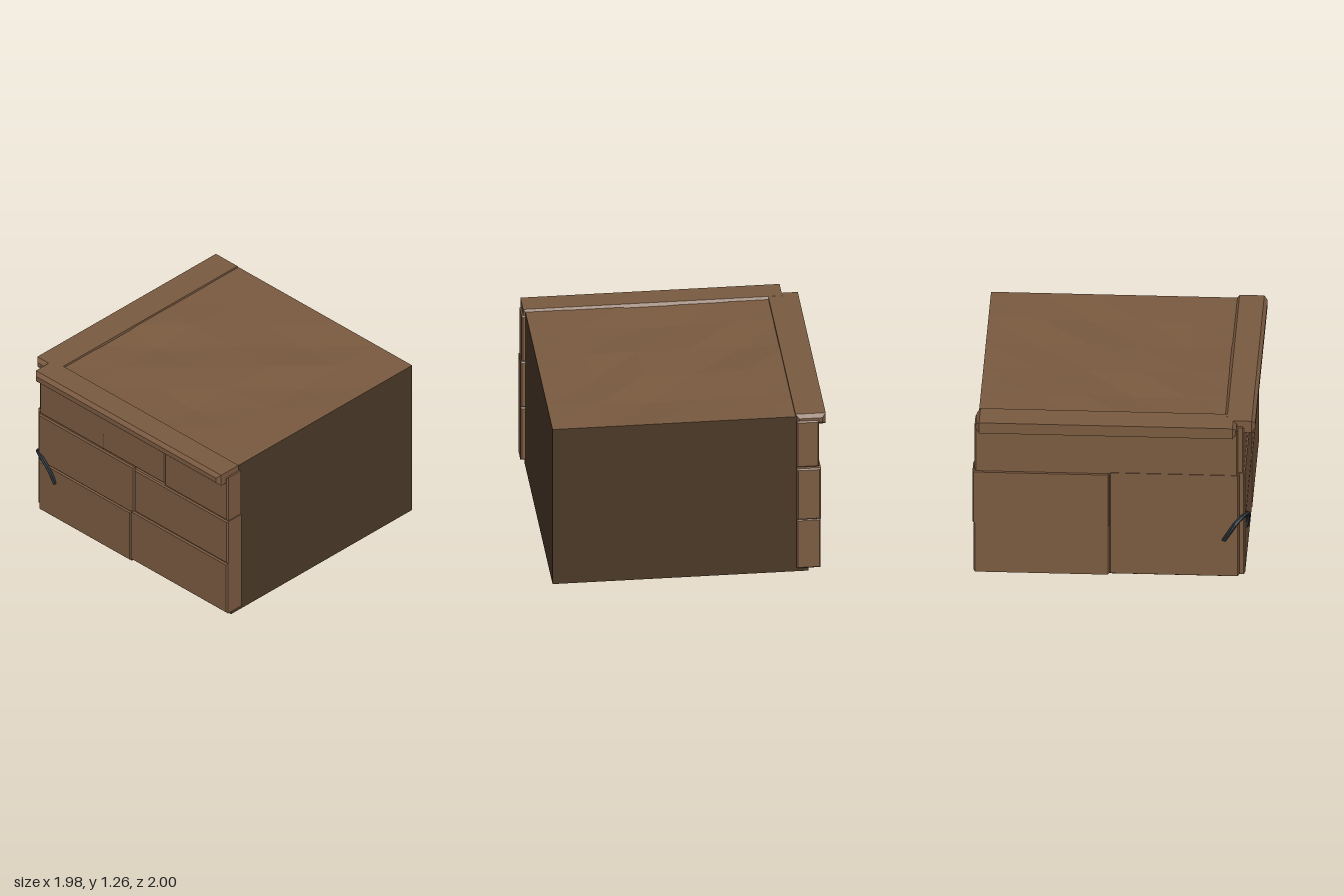
import * as THREE from 'three';

const wood = new THREE.MeshStandardMaterial({ color: 0x7a5a40, flatShading: true });
const soil = new THREE.MeshStandardMaterial({ color: 0x7a5a40, flatShading: true, side: THREE.DoubleSide });
const dark = new THREE.MeshStandardMaterial({ color: 0x4a3828, flatShading: true, side: THREE.DoubleSide });
const iron = new THREE.MeshStandardMaterial({ color: 0x2c343a, flatShading: true });

// Chamfered block between two corners
function block(name, [x0, x1], [y0, y1], [z0, z1], b = 0.015) {
  const s = new THREE.Shape();
  s.moveTo(x0 + b, y0 + b);
  s.lineTo(x1 - b, y0 + b);
  s.lineTo(x1 - b, y1 - b);
  s.lineTo(x0 + b, y1 - b);
  s.closePath();
  const geo = new THREE.ExtrudeGeometry(s, {
    depth: z1 - z0 - 2 * b, bevelEnabled: true, bevelSegments: 1, bevelSize: b, bevelThickness: b,
  });
  geo.translate(0, 0, z0 + b);
  const mesh = new THREE.Mesh(geo, wood);
  mesh.name = name;
  return mesh;
}

export function createModel() {
  const model = new THREE.Group();
  const X0 = -0.87, X1 = 0.95, Z0 = -0.96, Z1 = 0.86, TOP = 1.245;

  // Thin walls, open underneath; the two panelled sides stop below the rails
  const wall = (name, w, h, x, z, turn) => {
    const m = new THREE.Mesh(new THREE.PlaneGeometry(w, h), dark);
    m.position.set(x, h / 2, z);
    m.rotation.y = turn;
    m.name = name;
    model.add(m);
  };
  const midX = (X0 + X1) / 2, midZ = (Z0 + Z1) / 2;
  wall('backWall', X1 - X0, TOP, midX, Z0, Math.PI);
  wall('leftWall', Z1 - Z0, TOP, X1, midZ, Math.PI / 2);
  wall('frontInnerWall', X1 - X0, 1.2, midX, Z1, 0);
  wall('rightInnerWall', Z1 - Z0, 1.2, X0, midZ, -Math.PI / 2);

  // Gently uneven top, level along its border
  const ground = new THREE.PlaneGeometry(X1 - X0, Z1 - Z0, 5, 5);
  ground.rotateX(-Math.PI / 2);
  ground.translate(midX, TOP, midZ);
  const p = ground.attributes.position;
  for (let i = 0; i < p.count; i++) {
    const x = p.getX(i), z = p.getZ(i);
    const edge = x < X0 + 0.01 || x > X1 - 0.01 || z < Z0 + 0.01 || z > Z1 - 0.01;
    if (!edge) p.setY(i, TOP - 0.012 + 0.016 * Math.sin(x * 5 + 1) * Math.cos(z * 6 + x * 2));
  }
  const top = new THREE.Mesh(ground, soil);
  top.name = 'unevenTop';
  model.add(top);

  // Front planks: x range, y range, z range
  const front = [
    [[-0.9, 0.02], [0.035, 0.455], [0.785, 0.93]],
    [[0.02, 0.985], [0.055, 0.48], [0.78, 0.935]],
    [[-0.905, 0.052], [0.455, 0.855], [0.785, 0.93]],
    [[0.052, 0.985], [0.48, 0.845], [0.78, 0.93]],
    [[-0.9, 0.352], [0.855, 1.215], [0.785, 0.92]],
    [[0.352, 0.978], [0.845, 1.215], [0.78, 0.925]],
  ];
  front.forEach((f) => model.add(block('frontPlank', ...f, 0.01)));

  // Side planks
  const side = [
    [[-0.955, -0.785], [0.035, 0.43], [-0.99, -0.03]],
    [[-0.95, -0.785], [0.045, 0.455], [-0.03, 0.89]],
    [[-0.957, -0.785], [0.43, 0.84], [-1, -0.03]],
    [[-0.95, -0.785], [0.455, 0.855], [-0.03, 0.89]],
    [[-0.945, -0.785], [0.845, 1.215], [-0.985, 0.88]],
  ];
  side.forEach((s) => model.add(block('sidePlank', ...s, 0.01)));

  // Crack in the upper front plank
  const crack = new THREE.Mesh(new THREE.BoxGeometry(0.005, 0.125, 0.004), dark);
  crack.position.set(-0.264, 0.92, 0.92);
  crack.name = 'crack';
  model.add(crack);

  // Cap rails
  model.add(block('frontRail', [-0.88, 0.965], [1.17, 1.26], [0.775, 1], 0.025));
  model.add(block('sideRail', [-0.995, -0.78], [1.175, 1.259], [-0.975, 0.87], 0.025));

  // Bent iron strap wrapping the corner
  const path = new THREE.CatmullRomCurve3([
    [-0.735, 0.335, 0.93], [-0.765, 0.42, 0.945], [-0.83, 0.49, 0.945], [-0.905, 0.51, 0.92],
    [-0.96, 0.48, 0.87], [-0.972, 0.42, 0.83], [-0.945, 0.33, 0.78],
  ].map((v) => new THREE.Vector3(...v)));
  const strap = new THREE.Mesh(new THREE.TubeGeometry(path, 16, 0.016, 6), iron);
  strap.name = 'cornerStrap';
  model.add(strap);

  return model;
}
